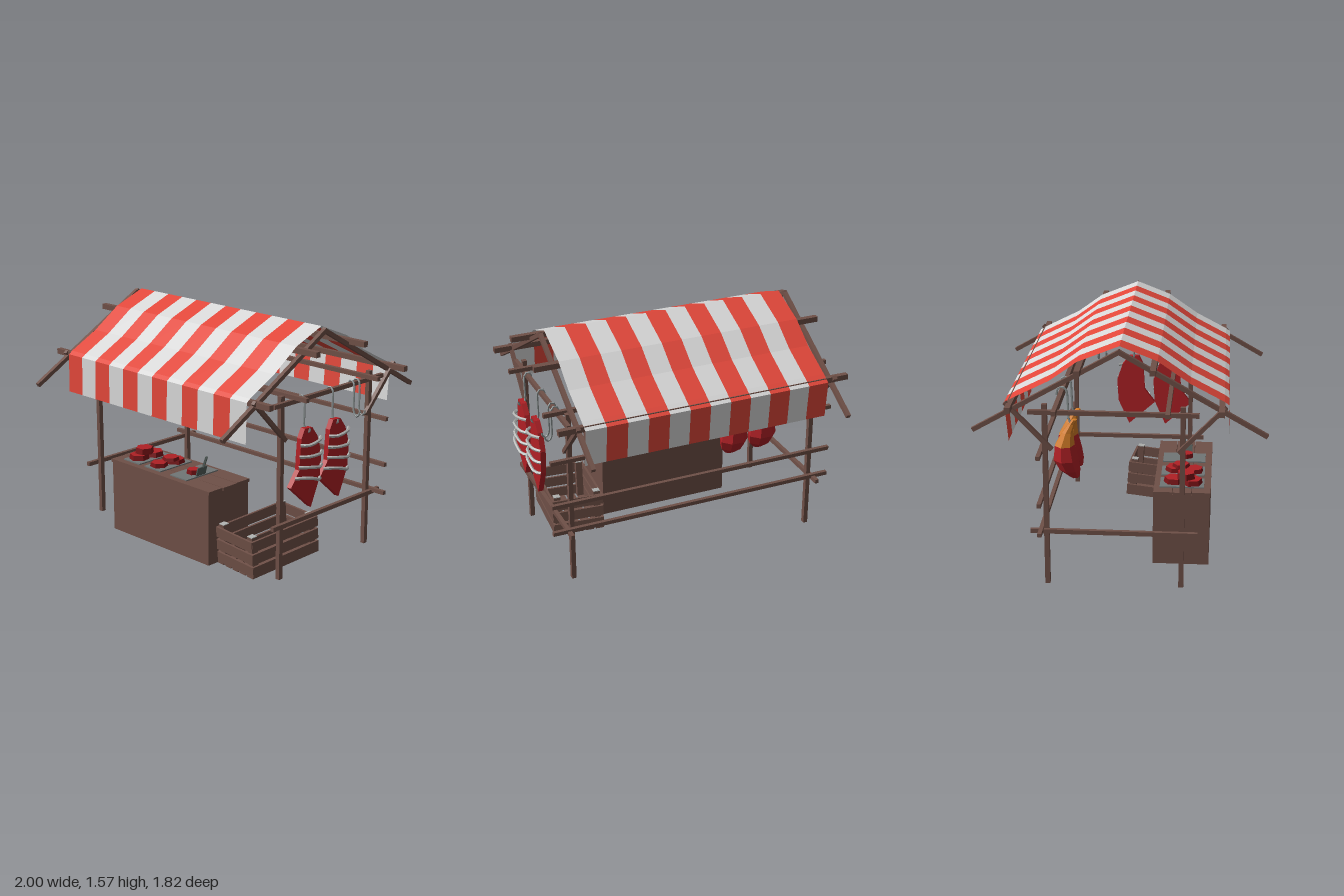
import * as THREE from 'three';

const mat = (name, color, extra = {}) => {
  const m = new THREE.MeshStandardMaterial({ color, flatShading: true, ...extra });
  m.name = name;
  return m;
};
const V = (x, y, z) => new THREE.Vector3(x, y, z);

export function createModel() {
  const wood = mat('wood', 0x6f5047);
  const redCloth = mat('redCloth', 0xe2473a, { side: THREE.DoubleSide });
  const whiteCloth = mat('whiteCloth', 0xd8d8d8, { side: THREE.DoubleSide });
  const meat = mat('meat', 0xb02025);
  const darkMeat = mat('darkMeat', 0x7c1216);
  const fat = mat('fat', 0xcf7a26);
  const bone = mat('bone', 0xb0b2b0);
  const steel = mat('steel', 0x8f9696);
  const tray = mat('tray', 0x717676);
  const blade = mat('blade', 0x55605c);

  const model = new THREE.Group();
  model.name = 'marketStall';
  const add = (name, geo, material, parent = model) => {
    const m = new THREE.Mesh(geo, material);
    m.name = name;
    parent.add(m);
    return m;
  };
  const box = (name, w, h, d, x, y, z, material = wood, parent = model) => {
    const m = add(name, new THREE.BoxGeometry(w, h, d), material, parent);
    m.position.set(x, y, z);
    return m;
  };
  // Square bar between two points
  const beam = (name, a, b, t = 0.03, material = wood) => {
    const m = add(name, new THREE.BoxGeometry(t, t, a.distanceTo(b)), material);
    m.position.copy(a).lerp(b, 0.5);
    m.lookAt(b);
    return m;
  };
  const tube = (name, pts, r, material, seg = 12) =>
    add(name, new THREE.TubeGeometry(new THREE.CatmullRomCurve3(pts), seg, r, 5), material);

  // Frame ends: posts, side rails, rafters and braces
  const ends = [
    { post: -0.868, rail: -0.892, rafter: -0.887, brace: -0.897 },
    { post: 0.853, rail: 0.88, rafter: 0.855, brace: 0.868 },
  ];
  for (const e of ends) {
    for (const z of [0.39, -0.46]) box('post', 0.03, 1.205, 0.032, e.post, 0.6025, z);
    for (const y of [1.16, 0.37]) box('sideRail', 0.026, 0.028, 1.05, e.rail, y, -0.035);
    for (const s of [1, -1]) {
      beam('rafter', V(e.rafter, 1.035, s * 0.905), V(e.rafter, 1.555, -s * 0.01), 0.028);
      const off = s < 0 ? -0.05 : 0;
      beam('brace', V(e.brace, 1.22, s * 0.65 + off), V(e.brace, 0.92, s * 0.365 + off), 0.026);
    }
  }
  // Long bars across the stall: [y, z, thickness]
  const bars = [[1.455, 0.21, 0.036], [1.44, -0.245, 0.036], [1.205, 0.625, 0.036], [1.2, -0.67, 0.036],
    [1.185, 0.3, 0.028], [1.185, -0.39, 0.028], [0.895, -0.49, 0.026], [0.58, -0.49, 0.026], [0.383, -0.49, 0.026]];
  for (const [y, z, t] of bars) box('longBar', 1.99, t, t, -0.005, y, z);

  // Striped awning, from back hem over the ridge to front hem (z, y)
  const profile = [[-0.69, 0.95], [-0.712, 1.2], [-0.65, 1.235], [-0.43, 1.345], [-0.26, 1.468], [0, 1.573],
    [0.23, 1.483], [0.43, 1.345], [0.64, 1.235], [0.668, 1.215], [0.676, 0.955]];
  const stripe = 1.67 / 12;
  for (let i = 0; i < 12; i++) {
    const g = new THREE.PlaneGeometry(stripe, 1, 1, profile.length - 1);
    const p = g.attributes.position;
    for (let k = 0; k < p.count; k++) {
      const [z, y] = profile[Math.floor(k / 2)];
      p.setXYZ(k, p.getX(k) - 0.84 + (i + 0.5) * stripe, y, z);
    }
    g.computeVertexNormals();
    add('awningStripe', g, i % 2 ? whiteCloth : redCloth);
  }

  // Counter, hollow and open underneath
  for (const z of [0.197, 0.553]) box('counterPanel', 0.93, 0.49, 0.012, -0.075, 0.245, z);
  for (const x of [-0.534, 0.384]) box('counterSide', 0.012, 0.49, 0.344, x, 0.245, 0.375);
  for (let i = 0; i < 3; i++)
    box('counterBoard', 0.95 + (i % 2) * 0.012, 0.022, 0.121, -0.072, 0.5, 0.253 + i * 0.125);

  // Trays with cuts of meat: [x, y, z, radius, height, turn]
  for (const x of [-0.39, -0.18, 0.07]) box('tray', 0.16, 0.008, 0.29, x, 0.515, 0.375, tray);
  const cuts = [[-0.4, 0.536, 0.44, 0.07, 0.034, 0.2], [-0.38, 0.536, 0.32, 0.068, 0.034, 1],
    [-0.39, 0.575, 0.4, 0.066, 0.04, 0.6], [-0.19, 0.532, 0.45, 0.062, 0.03, 0.4],
    [-0.17, 0.532, 0.32, 0.068, 0.03, 1.2], [-0.17, 0.558, 0.36, 0.06, 0.022, 0.1], [0.08, 0.534, 0.39, 0.048, 0.03, 0.5]];
  for (const [x, y, z, r, h, turn] of cuts) {
    const m = add('meatCut', new THREE.CylinderGeometry(r * 0.9, r, h, 6), [darkMeat, meat, darkMeat]);
    m.position.set(x, y, z);
    m.rotation.y = turn;
  }

  // Cleaver stuck in the counter
  const cleaver = box('cleaverBlade', 0.008, 0.07, 0.085, 0.15, 0.547, 0.385, blade);
  cleaver.rotation.z = -0.3;
  beam('cleaverHandle', V(0.158, 0.575, 0.375), V(0.18, 0.65, 0.365), 0.014, blade);

  // Tilted slatted crate
  const crate = new THREE.Group();
  crate.name = 'crate';
  crate.position.set(0.625, 0.172, 0.25);
  crate.rotation.set(0.075, -0.1, 0);
  model.add(crate);
  for (const sx of [-1, 1]) {
    for (const sz of [-1, 1]) {
      box('cratePost', 0.045, 0.265, 0.045, sx * 0.138, 0.005, sz * 0.245, wood, crate);
      box('cratePostTip', 0.045, 0.005, 0.045, sx * 0.138, 0.14, sz * 0.245, bone, crate);
    }
    for (let i = 0; i < 3; i++) {
      const y = -0.09 + i * 0.087;
      box('crateSideSlat', 0.016, 0.07, 0.56, sx * 0.169, y, 0, wood, crate);
      box('crateEndSlat', 0.35, 0.07, 0.016, 0, y, sx * 0.276, wood, crate);
    }
  }
  for (let i = 0; i < 5; i++)
    box('crateFloorSlat', 0.056, 0.012, 0.57, -0.144 + i * 0.072, -0.128, 0, wood, crate);

  // Hanging rib slabs; outline as (-z, y) about the hook
  const outline = [[-0.035, 0.99], [0.035, 0.985], [0.085, 0.92], [0.125, 0.8], [0.115, 0.64], [0.035, 0.46],
    [-0.155, 0.63], [-0.08, 0.73], [-0.075, 0.82], [-0.065, 0.93]];
  const ribs = [[0.07, -0.12, 0.89, 0.905], [0.08, -0.13, 0.818, 0.812], [0.085, -0.13, 0.75, 0.725], [0.12, -0.115, 0.685, 0.64]];
  for (const z of [0.235, -0.035]) {
    const shape = new THREE.Shape(outline.map(([u, v]) => new THREE.Vector2(u, v)));
    const slab = add('ribSlab', new THREE.ExtrudeGeometry(shape, { depth: 0.036, bevelEnabled: false }), meat);
    slab.rotation.y = Math.PI / 2;
    slab.position.set(0.908, 0, z);
    for (const [a, b, ya, yb] of ribs)
      tube('ribBone', [V(0.942, ya, z + a), V(0.978, ya, z + a * 0.55), V(0.985, (ya + yb) / 2, z - 0.02),
        V(0.975, yb, z + b * 0.65), V(0.942, yb, z + b)], 0.011, bone, 8);
  }

  // Hooks over the right side rail
  for (const z of [0.235, -0.035, -0.245, -0.3])
    tube('railHook', [V(0.857, 1.14, z), V(0.862, 1.175, z), V(0.882, 1.188, z), V(0.902, 1.17, z), V(0.906, 1.08, z),
      V(0.908, 0.985, z), V(0.928, 0.952, z), V(0.95, 0.965, z), V(0.955, 0.99, z)], 0.007, steel, 16);
  // Spare hook hung on the back bar
  const barHook = (x) => tube('barHook', [V(x, 1.16, -0.425), V(x, 1.2, -0.418), V(x, 1.212, -0.39), V(x, 1.195, -0.365),
    V(x, 1.1, -0.355), V(x, 1.0, -0.35), V(x, 0.965, -0.335)], 0.008, steel, 16);

  // Hams: faceted bodies leaning along a curved axis
  const ham = (name, x, pts, material) => {
    const g = new THREE.LatheGeometry(pts.map(([r, y]) => new THREE.Vector2(r, y)), 7);
    const p = g.attributes.position;
    for (let i = 0; i < p.count; i++) {
      const y = p.getY(i);
      p.setZ(i, p.getZ(i) * 0.82 - 0.38 + 1.75 * (y - 0.8) ** 2);
    }
    g.computeVertexNormals();
    add(name, g, material).position.x = x;
  };
  for (const x of [-0.55, -0.34]) {
    barHook(x);
    ham('hamMeat', x, [[0, 0.6], [0.035, 0.605], [0.082, 0.66], [0.1, 0.73], [0.08, 0.825]], meat);
    ham('hamShank', x, [[0.08, 0.825], [0.045, 0.91], [0.026, 0.965], [0.022, 0.995], [0, 1.0]], fat);
  }
  return model;
}
